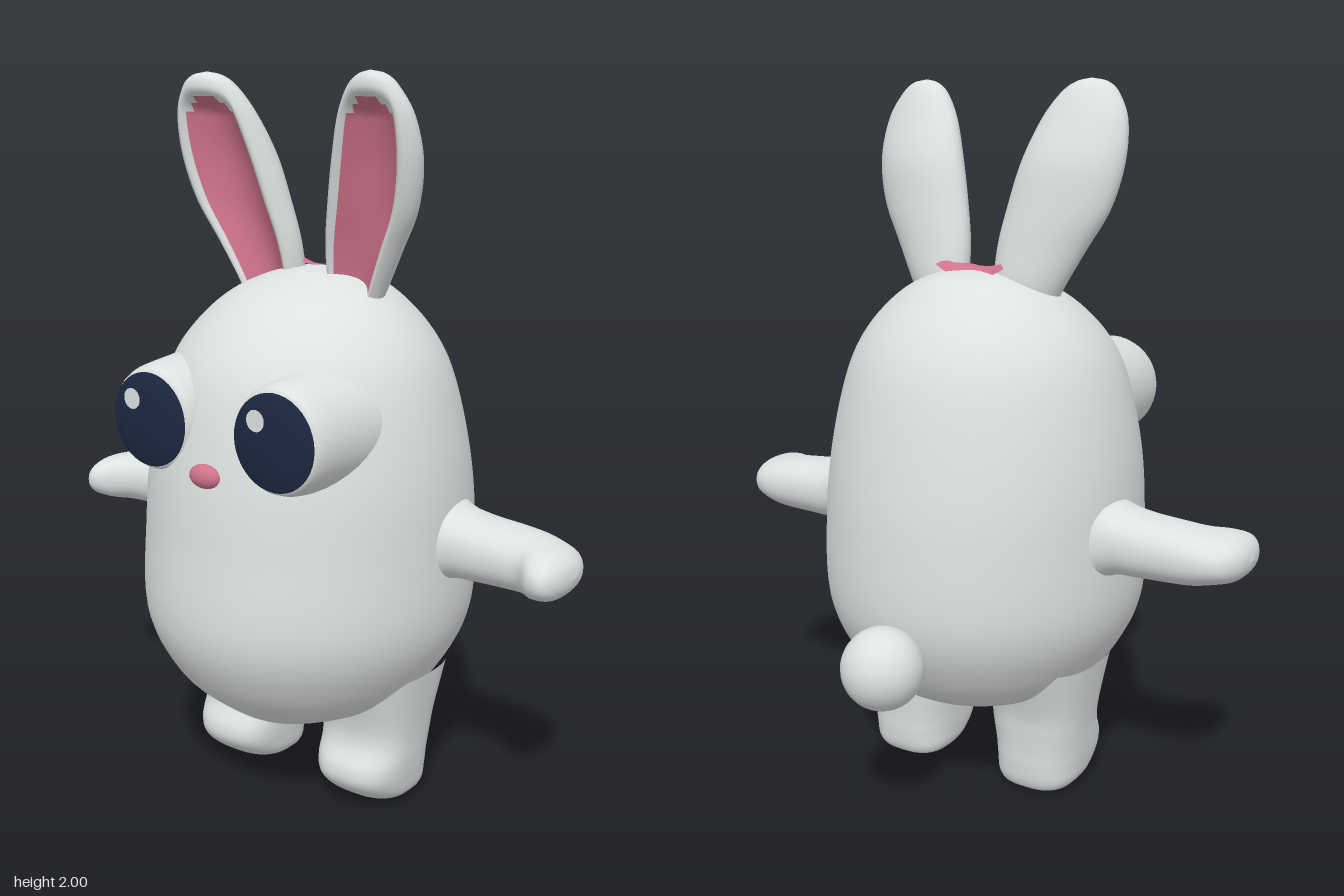
import * as THREE from 'three';

const mat = (name, color, side = THREE.FrontSide) => {
  const m = new THREE.MeshStandardMaterial({ color, side });
  m.name = name;
  return m;
};

// Closed loft through rows [t, a0, a1, b0, b1]; a and b are the extents of each ring.
// power < 1 squares the ring; bend(p, cos, sin) may reshape a point.
function loft(rows, { rings = 40, segs = 48, power = 1, alongX = false, bend } = {}) {
  const curve = (i, k) => new THREE.CatmullRomCurve3(
    rows.map(r => new THREE.Vector3(r[0], r[i], r[k])), false, 'catmullrom', 0.5);
  const ca = curve(1, 2), cb = curve(3, 4);
  const soft = v => Math.sign(v) * Math.abs(v) ** power;
  const pos = [], index = [];
  for (let i = 0; i <= rings; i++) {
    const A = ca.getPoint(i / rings), B = cb.getPoint(i / rings);
    for (let j = 0; j < segs; j++) {
      const th = j / segs * Math.PI * 2, c = Math.cos(th), s = Math.sin(th);
      const p = new THREE.Vector3(
        (A.y + A.z) / 2 + (A.z - A.y) / 2 * soft(c), A.x,
        (B.y + B.z) / 2 + (B.z - B.y) / 2 * soft(s));
      if (bend) bend(p, c, s, (B.z - B.y) / 2);
      if (alongX) pos.push(p.y, p.z, p.x);
      else pos.push(p.x, p.y, p.z);
      if (i < rings) {
        const a = i * segs + j, b = i * segs + (j + 1) % segs;
        index.push(a, a + segs, b, b, a + segs, b + segs);
      }
    }
  }
  const g = new THREE.BufferGeometry();
  g.setAttribute('position', new THREE.Float32BufferAttribute(pos, 3));
  g.setIndex(index);
  g.computeVertexNormals();
  return g;
}

// Mirrored copy across x = 0, with the corner order reversed
function mirrored(geo) {
  const g = geo.clone().scale(-1, 1, 1), ix = g.index.array;
  for (let i = 0; i < ix.length; i += 3) [ix[i], ix[i + 1]] = [ix[i + 1], ix[i]];
  g.computeVertexNormals();
  return g;
}

const lathe = pts => new THREE.LatheGeometry(
  pts.map(p => new THREE.Vector2(...p)), 40).rotateX(Math.PI / 2);

export function createModel() {
  const model = new THREE.Group();
  model.name = 'rabbit';
  const fur = mat('pale grey fur', 0xdde1e0);
  const pink = mat('pink', 0xd0738b, THREE.DoubleSide);
  const navy = mat('dark navy', 0x1c2740);

  const add = (name, geo, material, x = 0, y = 0, z = 0) => {
    const m = new THREE.Mesh(geo, material);
    m.name = name;
    m.position.set(x, y, z);
    model.add(m);
    return m;
  };
  const pair = (name, geo, material) => {
    add('left' + name, geo, material);
    add('right' + name, mirrored(geo), material);
  };

  // Body and head in one egg shape
  add('body', loft([
    [0.215, 0, 0, 0.12, 0.12],
    [0.235, -0.13, 0.13, -0.06, 0.28],
    [0.30, -0.29, 0.29, -0.23, 0.39],
    [0.40, -0.385, 0.385, -0.33, 0.49],
    [0.56, -0.455, 0.455, -0.395, 0.555],
    [0.80, -0.46, 0.46, -0.39, 0.54],
    [1.00, -0.445, 0.445, -0.36, 0.515],
    [1.20, -0.40, 0.40, -0.31, 0.465],
    [1.32, -0.34, 0.34, -0.25, 0.39],
    [1.42, -0.24, 0.24, -0.16, 0.27],
    [1.475, -0.12, 0.12, -0.08, 0.13],
    [1.49, 0, 0, 0.03, 0.03],
  ], { rings: 66, segs: 64 }), fur);

  // Legs with blunt feet pushed slightly forward
  pair('Leg', loft([
    [0, 0.21, 0.21, 0.04, 0.04],
    [0.006, 0.13, 0.30, -0.045, 0.11],
    [0.03, 0.10, 0.335, -0.07, 0.17],
    [0.08, 0.09, 0.347, -0.078, 0.225],
    [0.13, 0.085, 0.353, -0.08, 0.23],
    [0.19, 0.08, 0.358, -0.085, 0.20],
    [0.26, 0.073, 0.367, -0.095, 0.20],
    [0.40, 0.05, 0.39, -0.14, 0.24],
  ], { power: 0.75 }), fur);

  // Arms, ending in hands that curl forward
  pair('Arm', loft([
    [0.38, -0.12, 0.16, 0.64, 0.94],
    [0.46, -0.085, 0.135, 0.69, 0.89],
    [0.53, -0.08, 0.13, 0.697, 0.872],
    [0.62, -0.077, 0.13, 0.70, 0.863],
    [0.69, -0.073, 0.14, 0.703, 0.855],
    [0.74, -0.063, 0.182, 0.71, 0.846],
    [0.785, -0.035, 0.185, 0.72, 0.835],
    [0.812, 0.01, 0.14, 0.745, 0.81],
    [0.822, 0.07, 0.07, 0.777, 0.777],
  ], { alongX: true, power: 0.9 }), fur);

  // Ears: the front is hollowed and the hollow is pink
  const rings = 60, segs = 72;
  const ear = loft([
    [1.38, 0.07, 0.21, 0.01, 0.11],
    [1.45, 0.05, 0.245, -0.005, 0.125],
    [1.55, 0.05, 0.30, 0.005, 0.145],
    [1.66, 0.07, 0.36, 0.02, 0.17],
    [1.78, 0.10, 0.387, 0.04, 0.195],
    [1.89, 0.14, 0.38, 0.085, 0.21],
    [1.96, 0.185, 0.345, 0.12, 0.215],
    [1.99, 0.225, 0.31, 0.145, 0.205],
    [2.0, 0.265, 0.265, 0.178, 0.178],
  ], {
    rings, segs, bend: (p, c, s, depth) => {
      const fade = THREE.MathUtils.smoothstep(1.96 - p.y, 0, 0.07);
      if (s > 0) p.z -= depth * 1.1 * fade * Math.max(0, 1 - (c / 0.75) ** 2);
      p.z += 0.22 * depth * c;
    },
  });
  const py = ear.attributes.position;
  for (let i = 0; i < rings; i++) {
    const y = py.getY((i + 1) * segs), row = i * segs * 6;
    // The pink strip narrows to a round end at the top
    const n = y > 1.94 ? 0 : y > 1.925 ? 4 : y > 1.9 ? 6 : 8;
    ear.addGroup(row, (18 - n) * 6, 0);
    if (n) ear.addGroup(row + (18 - n) * 6, n * 12, 1);
    ear.addGroup(row + (18 + n) * 6, (segs - 18 - n) * 6, 0);
  }
  pair('Ear', ear, [fur, pink]);

  // Pink saddle between the ears
  const saddle = new THREE.PlaneGeometry(2, 1, 12, 6);
  const sp = saddle.attributes.position;
  for (let i = 0; i < sp.count; i++) {
    const v = sp.getY(i) + 0.5, x = sp.getX(i) * (0.11 - 0.075 * v);
    sp.setXYZ(i, x, 1.494 + 3 * x * x - 0.03 * (1 - v) ** 4, -0.018 + 0.08 * v);
  }
  saddle.computeVertexNormals();
  add('earSaddle', saddle, pink);

  // Bulging eyes with dark domes and a small glint
  const bulge = lathe([[0.165, 0.25], [0.153, 0.37], [0.147, 0.43], [0.142, 0.465],
    [0.134, 0.487], [0.124, 0.498], [0.08, 0.508], [0.0001, 0.512]]);
  const dome = lathe([[0.126, 0.499], [0.122, 0.503], [0.08, 0.513], [0.0001, 0.517]]);
  for (const [side, x] of [['left', 0.208], ['right', -0.208]]) {
    add(side + 'EyeBulge', bulge, fur, x, 1.117, 0);
    add(side + 'Pupil', dome, navy, x, 1.117, 0);
    add(side + 'Glint', new THREE.CircleGeometry(0.028, 24), fur, x - 0.04, 1.172, 0.52);
  }

  // Nose
  add('nose', new THREE.SphereGeometry(1, 24, 16).scale(0.05, 0.032, 0.025),
    pink, -0.005, 1.0, 0.512);

  // Tail
  add('tail', new THREE.SphereGeometry(0.113, 32, 24), fur, 0, 0.475, -0.447);

  return model;
}
